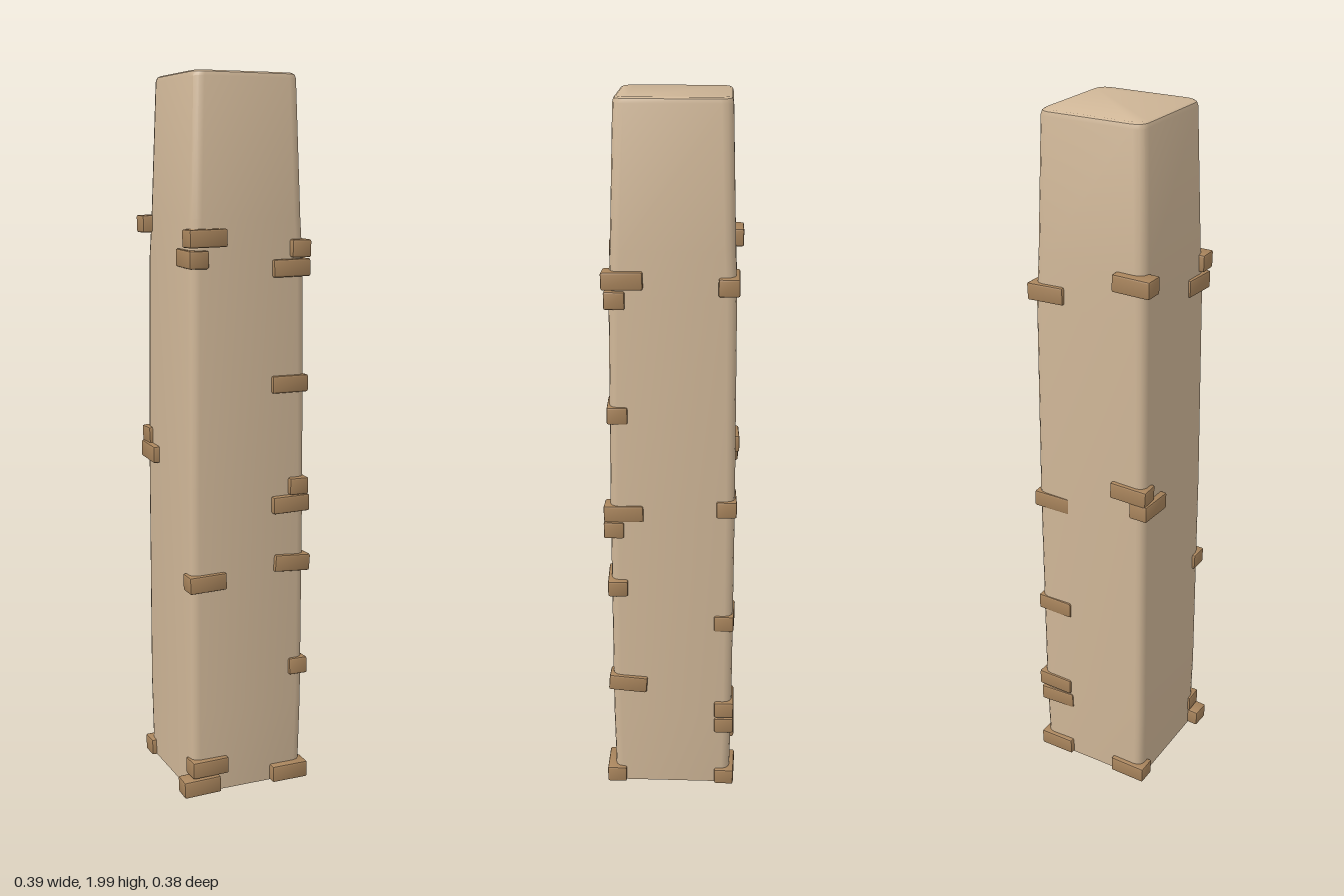
import * as THREE from 'three';
import { toCreasedNormals } from 'three/addons/utils/BufferGeometryUtils.js';
import { RoundedBoxGeometry } from 'three/addons/geometries/RoundedBoxGeometry.js';

const plaster = new THREE.MeshStandardMaterial({ color: 0xcfb697 });
plaster.name = 'pale plaster';
const brickBrown = new THREE.MeshStandardMaterial({ color: 0xa8845c });
brickBrown.name = 'brown brick';

// Square pillar with softened corners, lofted through [height, half width, corner radius]
function pillarGeometry(sections) {
  const steps = 3, n = 4 * (steps + 1), pos = [], index = [];
  for (const [y, half, r] of sections) {
    for (let c = 0; c < 4; c++) {
      const mid = Math.PI / 4 + c * Math.PI / 2;
      const cx = Math.sign(Math.cos(mid)) * (half - r);
      const cz = Math.sign(Math.sin(mid)) * (half - r);
      for (let s = 0; s <= steps; s++) {
        const a = c * Math.PI / 2 + (s / steps) * Math.PI / 2;
        pos.push(cx + r * Math.cos(a), y, cz + r * Math.sin(a));
      }
    }
  }
  for (let k = 0; k < sections.length - 1; k++) {
    for (let i = 0; i < n; i++) {
      const a = k * n + i, b = k * n + (i + 1) % n;
      index.push(a, a + n, b, b, a + n, b + n);
    }
  }
  // end caps
  const last = (sections.length - 1) * n;
  for (let i = 1; i < n - 1; i++) {
    index.push(0, i, i + 1);
    index.push(last, last + i + 1, last + i);
  }
  const g = new THREE.BufferGeometry();
  g.setAttribute('position', new THREE.Float32BufferAttribute(pos, 3));
  g.setIndex(index);
  return toCreasedNormals(g, 0.6);
}

// Corner bricks: [side x, side z, height, long axis, outer x, outer z, tilt]
const bricks = [
  // front, +x corner
  [1, 1, 1.54, 'z', 0.182, 0.182, 0.02],
  [1, 1, 1.487, 'x', 0.182, 0.176, 0.02],
  [1, 1, 1.17, 'x', 0.18, 0.174, 0],
  [1, 1, 0.883, 'z', 0.18, 0.185, 0.02],
  [1, 1, 0.833, 'x', 0.182, 0.186, 0.02],
  [1, 1, 0.66, 'x', 0.19, 0.178, -0.07],
  [1, 1, 0.348, 'z', 0.186, 0.178, -0.07],
  [1, 1, 0.035, 'x', 0.184, 0.188, 0],
  // front, -x corner
  [-1, 1, 1.57, 'x', 0.176, 0.182, 0.02],
  [-1, 1, 1.515, 'z', 0.172, 0.176, 0.03],
  [-1, 1, 0.63, 'x', 0.177, 0.18, 0.03],
  [-1, 1, 0.088, 'x', 0.172, 0.182, 0],
  [-1, 1, 0.038, 'x', 0.198, 0.188, 0.04],
  // back, +x corner
  [1, -1, 1.527, 'x', 0.186, 0.18, -0.03],
  [1, -1, 0.9, 'x', 0.184, 0.18, 0.02],
  [1, -1, 0.547, 'x', 0.182, 0.18, 0],
  [1, -1, 0.265, 'x', 0.188, 0.182, 0.02],
  [1, -1, 0.212, 'x', 0.182, 0.181, -0.02],
  [1, -1, 0.036, 'x', 0.184, 0.186, -0.03],
  // back, -x corner
  [-1, -1, 1.6, 'x', 0.188, 0.19, 0.02],
  [-1, -1, 0.998, 'x', 0.178, 0.186, 0.05],
  [-1, -1, 0.95, 'z', 0.184, 0.184, 0.03],
  [-1, -1, 0.034, 'x', 0.178, 0.186, 0.02],
];

export function createModel() {
  const model = new THREE.Group();
  model.name = 'brickCornerPillar';

  const pillar = new THREE.Mesh(pillarGeometry([
    [0.012, 0.168, 0.024],
    [0.25, 0.172, 0.024],
    [0.9, 0.172, 0.024],
    [1.5, 0.168, 0.026],
    [1.62, 0.163, 0.028],
    [1.985, 0.152, 0.03],
    [1.996, 0.149, 0.03],
    [2.0, 0.143, 0.028],
  ]), plaster);
  pillar.name = 'pillar';
  pillar.position.set(0.004, 0, -0.004);
  model.add(pillar);

  // Bricks set into the corners, each a little crooked
  const long = 0.11, short = 0.056, high = 0.048;
  const brickGeometry = toCreasedNormals(new RoundedBoxGeometry(long, high, short, 1, 0.005), 0.5);
  const corners = new THREE.Group();
  corners.name = 'cornerBricks';
  bricks.forEach(([sx, sz, y, axis, ox, oz, tilt], i) => {
    const alongX = axis === 'x';
    const brick = new THREE.Mesh(brickGeometry, brickBrown);
    brick.name = 'cornerBrick' + (i + 1);
    brick.position.set(
      sx * (ox - (alongX ? long : short) / 2), y,
      sz * (oz - (alongX ? short : long) / 2));
    brick.rotation.set(0, (alongX ? 0 : Math.PI / 2) + (i % 3 - 1) * 0.03, tilt);
    corners.add(brick);
  });
  model.add(corners);
  return model;
}
